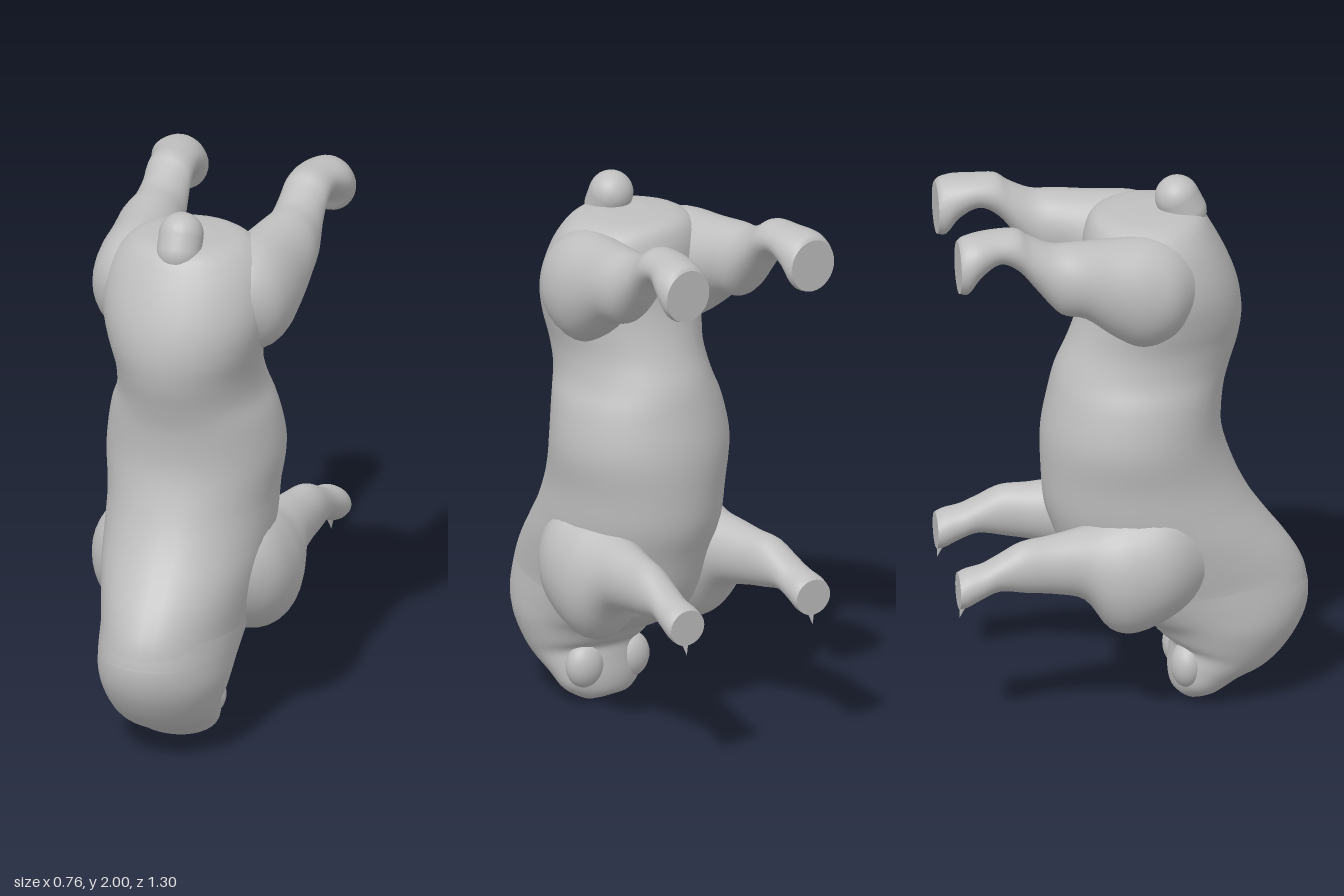
import * as THREE from 'three';

const SIDES = 32;

// Smooth loft. Each row: [y, z] of one edge, [y, z] of the opposite edge, centre x, half width.
function loft(rows, steps = 4) {
  const curve = (f) => new THREE.CatmullRomCurve3(rows.map(f), false, 'catmullrom', 0.5);
  const edgeA = curve((r) => new THREE.Vector3(0, r[0], r[1]));
  const edgeB = curve((r) => new THREE.Vector3(0, r[2], r[3]));
  const size = curve((r) => new THREE.Vector3(r[4], r[5], 0));
  const pos = [], idx = [];
  const count = (rows.length - 1) * steps;
  const ring = (t) => {
    const a = edgeA.getPoint(t), b = edgeB.getPoint(t), s = size.getPoint(t);
    for (let j = 0; j < SIDES; j++) {
      const ang = (j / SIDES) * Math.PI * 2;
      const c = Math.cos(ang) / 2;
      pos.push(s.x + Math.sin(ang) * s.y,
        (a.y + b.y) / 2 + (a.y - b.y) * c, (a.z + b.z) / 2 + (a.z - b.z) * c);
    }
    return [s.x, (a.y + b.y) / 2, (a.z + b.z) / 2];
  };
  for (let i = 0; i <= count; i++) ring(i / count);
  for (let i = 0; i < count; i++) {
    for (let j = 0; j < SIDES; j++) {
      const k = (j + 1) % SIDES, p = i * SIDES, q = p + SIDES;
      idx.push(p + j, q + j, p + k, p + k, q + j, q + k);
    }
  }
  // separate end caps keep a crisp rim
  for (const t of [0, 1]) {
    const base = pos.length / 3;
    pos.push(...ring(t));
    for (let j = 0; j < SIDES; j++) {
      const p = base + j, q = base + ((j + 1) % SIDES), c = base + SIDES;
      if (t === 0) idx.push(p, q, c); else idx.push(q, p, c);
    }
  }
  // turn the surface outward if the signed volume is negative
  const v = (i) => new THREE.Vector3().fromArray(pos, i * 3);
  let volume = 0;
  for (let i = 0; i < idx.length; i += 3) volume += v(idx[i]).dot(v(idx[i + 1]).cross(v(idx[i + 2])));
  if (volume < 0) idx.reverse();
  const geo = new THREE.BufferGeometry();
  geo.setAttribute('position', new THREE.Float32BufferAttribute(pos, 3));
  geo.setIndex(idx);
  geo.computeVertexNormals();
  return geo;
}

export function createModel() {
  const group = new THREE.Group();
  const grey = new THREE.MeshStandardMaterial({ color: 0xbfbfbf });
  grey.name = 'plain grey';
  const add = (name, geo) => {
    const mesh = new THREE.Mesh(geo, grey);
    mesh.name = name;
    group.add(mesh);
    return mesh;
  };

  // Rump to neck: back edge, belly edge
  add('torso', loft([
    [1.89, 0.18, 1.885, 0.0, 0, 0.08],
    [1.87, 0.26, 1.87, -0.11, 0, 0.2],
    [1.8, 0.31, 1.81, -0.15, 0, 0.27],
    [1.7, 0.36, 1.71, -0.16, 0, 0.3],
    [1.6, 0.395, 1.6, -0.16, 0, 0.3],
    [1.5, 0.408, 1.5, -0.18, 0, 0.28],
    [1.4, 0.395, 1.4, -0.215, 0, 0.258],
    [1.3, 0.365, 1.3, -0.26, 0, 0.265],
    [1.2, 0.34, 1.2, -0.285, 0, 0.3],
    [1.05, 0.335, 1.05, -0.312, 0, 0.322],
    [0.9, 0.38, 0.9, -0.312, 0, 0.305],
    [0.78, 0.44, 0.77, -0.3, 0, 0.3],
    [0.68, 0.51, 0.65, -0.26, 0, 0.29],
    [0.59, 0.58, 0.52, -0.22, 0, 0.27],
    [0.5, 0.63, 0.42, -0.16, 0, 0.25],
    [0.41, 0.65, 0.35, -0.03, 0, 0.24],
  ]));

  // Head hanging down, tapering to the muzzle: crown edge, throat edge
  add('head', loft([
    [0.5, 0.63, 0.42, -0.16, 0, 0.25],
    [0.4, 0.65, 0.345, -0.03, 0, 0.242],
    [0.3, 0.63, 0.31, 0.06, 0, 0.235],
    [0.2, 0.57, 0.26, 0.11, 0, 0.215],
    [0.13, 0.5, 0.23, 0.15, 0, 0.195],
    [0.08, 0.4, 0.18, 0.15, 0, 0.18],
    [0.03, 0.32, 0.11, 0.145, 0, 0.155],
    [0.005, 0.25, 0.05, 0.155, 0, 0.09],
    [0.005, 0.23, 0.025, 0.19, 0, 0.03],
  ]));

  // Short rounded tail
  const tail = add('tail', new THREE.CapsuleGeometry(0.08, 0.06, 10, 24));
  tail.position.set(0, 1.895, 0.192);
  tail.rotation.x = -0.45;

  const hind = [
    [1.74, 0.24, 1.56, 0.22, 0.17, 0.08],
    [1.82, 0.15, 1.48, 0.13, 0.2, 0.145],
    [1.86, 0.05, 1.45, 0.02, 0.215, 0.16],
    [1.865, -0.1, 1.5, -0.08, 0.232, 0.145],
    [1.87, -0.22, 1.585, -0.19, 0.25, 0.125],
    [1.875, -0.31, 1.61, -0.28, 0.255, 0.105],
    [1.91, -0.39, 1.7, -0.36, 0.255, 0.09],
    [1.94, -0.44, 1.785, -0.43, 0.258, 0.086],
    [1.94, -0.52, 1.82, -0.5, 0.262, 0.086],
    [1.935, -0.59, 1.78, -0.57, 0.275, 0.1],
    [1.925, -0.635, 1.72, -0.615, 0.278, 0.1],
    [1.91, -0.65, 1.72, -0.65, 0.278, 0.094],
  ];
  const fore = [
    [0.72, 0.28, 0.52, 0.29, 0.15, 0.08],
    [0.81, 0.13, 0.41, 0.15, 0.195, 0.155],
    [0.8, -0.02, 0.345, 0.0, 0.21, 0.168],
    [0.77, -0.13, 0.37, -0.1, 0.218, 0.148],
    [0.755, -0.22, 0.49, -0.19, 0.235, 0.11],
    [0.74, -0.32, 0.525, -0.3, 0.25, 0.09],
    [0.73, -0.42, 0.54, -0.4, 0.265, 0.077],
    [0.69, -0.5, 0.555, -0.5, 0.272, 0.068],
    [0.66, -0.56, 0.53, -0.57, 0.278, 0.07],
    [0.645, -0.62, 0.505, -0.62, 0.28, 0.076],
    [0.63, -0.65, 0.5, -0.65, 0.28, 0.074],
  ];
  const mirror = (rows, s) => rows.map((r) => [...r.slice(0, 4), r[4] * s, r[5]]);

  for (const s of [1, -1]) {
    const side = s > 0 ? 'left' : 'right';
    add(side + 'HindLeg', loft(mirror(hind, s)));
    add(side + 'ForeLeg', loft(mirror(fore, s)));

    // Pointed claw at the tip of the fore foot
    const claw = add(side + 'Claw', new THREE.ConeGeometry(0.02, 0.07, 8));
    claw.rotation.x = Math.PI + 0.25;
    claw.position.set(s * 0.28, 0.495, -0.636);

    // Rounded jowl beside the muzzle
    const jowl = add(side + 'Jowl', new THREE.SphereGeometry(1, 24, 16));
    jowl.scale.set(0.075, 0.085, 0.06);
    jowl.position.set(s * 0.1, 0.155, 0.2);
  }
  return group;
}
